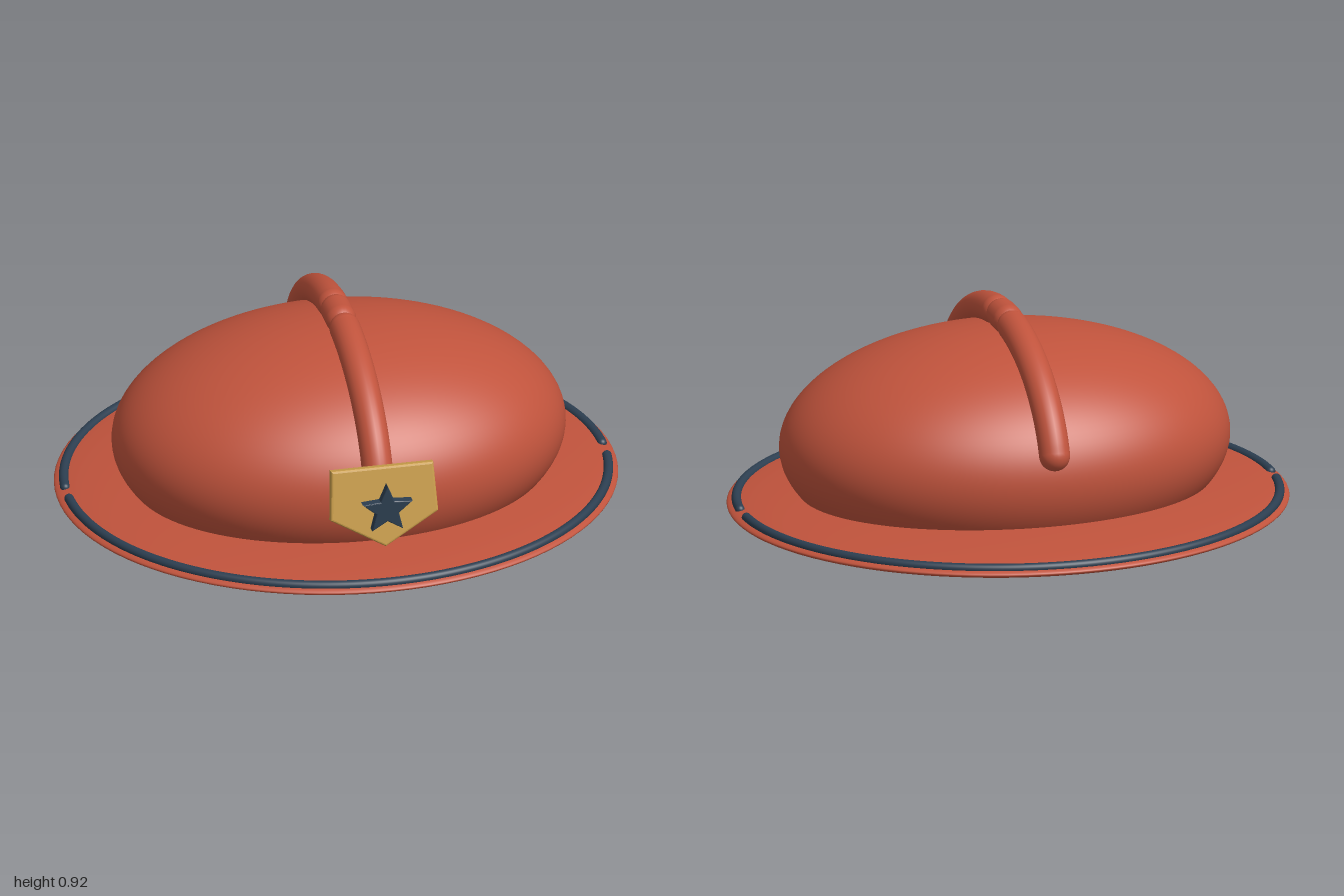
import * as THREE from 'three';

const material = (name, color) => {
  const m = new THREE.MeshStandardMaterial({ color });
  m.name = name;
  return m;
};

export function createModel() {
  const red = material('helmet red', 0xc0533c);
  const navy = material('navy', 0x2c3e50);
  const gold = material('gold', 0xc99d4a);
  const model = new THREE.Group();
  model.name = 'helmet';

  const add = (name, geometry, mat, parent = model) => {
    const mesh = new THREE.Mesh(geometry, mat);
    mesh.name = name;
    parent.add(mesh);
    return mesh;
  };

  const ellipsoid = (name, radii, centre) =>
    add(name, new THREE.SphereGeometry(1, 96, 64).scale(...radii).translate(...centre), red);

  // Tube along a list of points, closed by round ends
  const roundedTube = (name, points, radius, mat) => {
    const part = new THREE.Group();
    part.name = name;
    const curve = new THREE.CatmullRomCurve3(points);
    add(name + 'Body', new THREE.TubeGeometry(curve, 96, radius, 24), mat, part);
    for (const end of [points[0], points[points.length - 1]]) {
      add(name + 'End', new THREE.SphereGeometry(radius, 24, 16), mat, part).position.copy(end);
    }
    model.add(part);
  };

  const sample = (from, to, count, fn) =>
    Array.from({ length: count + 1 }, (_, i) => fn(from + ((to - from) * i) / count));

  // Shell and brim
  ellipsoid('dome', [0.81, 0.41, 0.62], [0, 0.415, 0.042]);
  ellipsoid('brim', [1, 0.065, 0.915], [0, 0.205, 0]);

  // Brim trim in two arcs with small gaps at the sides
  const trimPoint = (a) => new THREE.Vector3(0.965 * Math.cos(a), 0.222, 0.882 * Math.sin(a));
  roundedTube('frontTrim', sample(0.1, Math.PI + 0.005, 48, trimPoint), 0.017, navy);
  roundedTube('backTrim', sample(Math.PI + 0.105, Math.PI * 2 - 0.01, 48, trimPoint), 0.017, navy);

  // Crest over the dome: front and back arcs with a bead between them
  const crestPoint = (a) => new THREE.Vector3(0, 0.415 + 0.45 * Math.sin(a), 0.042 + 0.645 * Math.cos(a));
  const start = 0.27, stop = Math.PI / 2 - 0.155;
  roundedTube('frontCrest', sample(start, stop, 16, crestPoint), 0.055, red);
  roundedTube('backCrest', sample(Math.PI - start, Math.PI - stop, 16, crestPoint), 0.055, red);
  const bead = add('crestBead', new THREE.CapsuleGeometry(0.055, 0.07, 12, 24), red);
  bead.rotation.x = Math.PI / 2;
  bead.position.set(0, 0.865, 0.04);

  // Bevelled plate whose outline includes the bevel
  const plate = (points, depth, bevel) =>
    new THREE.ExtrudeGeometry(new THREE.Shape(points), {
      depth: depth - 2 * bevel, bevelEnabled: true, bevelThickness: bevel,
      bevelSize: bevel, bevelOffset: -bevel, bevelSegments: 3,
    }).translate(0, 0, bevel - depth / 2);

  // Leaning five-sided badge
  const outline = [[-0.185, 0.145], [-0.195, -0.035], [0, -0.148], [0.195, -0.035], [0.185, 0.145]]
    .map(([x, y]) => new THREE.Vector2(x, y));
  const badge = add('badge', plate(outline, 0.036, 0.008), gold);
  badge.position.set(0, 0.461, 0.75);
  badge.rotation.x = -0.2;

  // Upright star in front of the badge
  const starPoints = sample(0, 9, 9, (i) => {
    const r = i % 2 ? 0.043 : 0.095;
    const a = Math.PI / 2 + (i * Math.PI) / 5;
    return new THREE.Vector2(r * Math.cos(a), r * Math.sin(a));
  });
  add('star', plate(starPoints, 0.034, 0.005), navy).position.set(0, 0.475, 0.807);

  return model;
}
